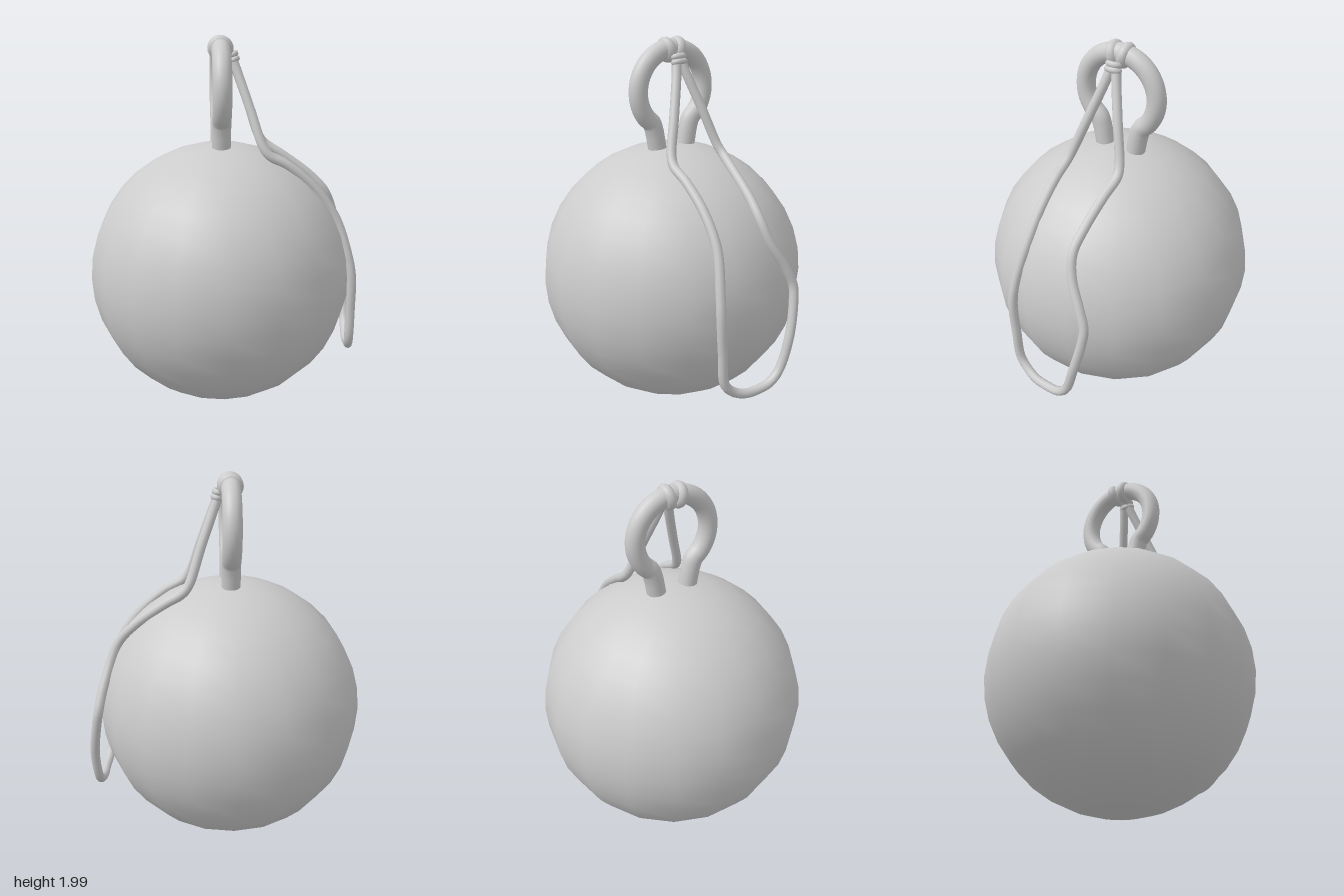
import * as THREE from 'three';

const material = new THREE.MeshStandardMaterial({ color: 0xcccccc });
const CX = -0.033; // axis shared by ball and ring

function add(group, name, geometry) {
  const mesh = new THREE.Mesh(geometry, material);
  mesh.name = name;
  group.add(mesh);
  return mesh;
}

function curveThrough(points, closed = false) {
  return new THREE.CatmullRomCurve3(points.map(p => new THREE.Vector3(...p)), closed, 'centripetal');
}

export function createModel() {
  const group = new THREE.Group();

  // Ball, with its facets centred on the x axis
  const ball = new THREE.SphereGeometry(0.717, 18, 18);
  ball.rotateY(Math.PI / 2);
  add(group, 'ball', ball).position.set(CX, 0.722, 0);

  // Open ring whose ends bend down into the ball
  const ringPoints = [[CX, 1.4, 0.09], [CX, 1.46, 0.1], [CX, 1.52, 0.112]];
  const start = -0.92, end = Math.PI + 0.92, steps = 20;
  for (let i = 0; i <= steps; i++) {
    const a = start + (end - start) * i / steps;
    ringPoints.push([CX, 1.73 + 0.21 * Math.sin(a), 0.21 * Math.cos(a)]);
  }
  ringPoints.push([CX, 1.52, -0.112], [CX, 1.46, -0.1], [CX, 1.4, -0.09]);
  const ringCurve = curveThrough(ringPoints);
  const ring = new THREE.TubeGeometry(ringCurve, 80, 0.05, 16);
  add(group, 'ring', ring);

  // Two cord wraps round the top of the ring, leaning together below
  for (const side of [-1, 1]) {
    const wrap = add(group, 'cordWrap', new THREE.TorusGeometry(0.038, 0.029, 12, 24));
    wrap.position.set(CX, 1.933, side * 0.031);
    wrap.rotation.x = side * 0.2;
  }

  // Small knot binding the two strands
  for (const [x, y, r] of [[0.03, 1.902, 0.03], [0.036, 1.876, 0.033]]) {
    const band = add(group, 'knotBand', new THREE.TorusGeometry(r, 0.015, 10, 20));
    band.position.set(x, y, 0);
    band.rotation.set(Math.PI / 2, 0.35, 0);
    band.scale.set(0.7, 1, 1);
  }

  // Loop of cord draped down the left side of the ball
  const cord = curveThrough([
    [0.02, 1.91, 0.01], [0.045, 1.84, 0.025], [0.12, 1.62, 0.098], [0.18, 1.44, 0.16],
    [0.215, 1.395, 0.172], [0.32, 1.335, 0.172], [0.46, 1.215, 0.172], [0.57, 1.06, 0.18],
    [0.64, 0.85, 0.213], [0.66, 0.74, 0.222], [0.665, 0.55, 0.212], [0.667, 0.37, 0.196],
    [0.675, 0.315, 0.15], [0.69, 0.283, 0.08], [0.695, 0.276, 0], [0.705, 0.294, -0.08],
    [0.71, 0.35, -0.14], [0.715, 0.53, -0.2], [0.69, 0.72, -0.242], [0.675, 0.8, -0.246],
    [0.655, 0.89, -0.21], [0.61, 1.03, -0.137], [0.56, 1.14, -0.11], [0.47, 1.235, -0.117],
    [0.32, 1.345, -0.132], [0.22, 1.41, -0.145], [0.185, 1.455, -0.135],
    [0.12, 1.64, -0.083], [0.045, 1.84, -0.025], [0.02, 1.91, -0.01],
  ]);
  add(group, 'cord', new THREE.TubeGeometry(cord, 200, 0.025, 10));

  return group;
}
